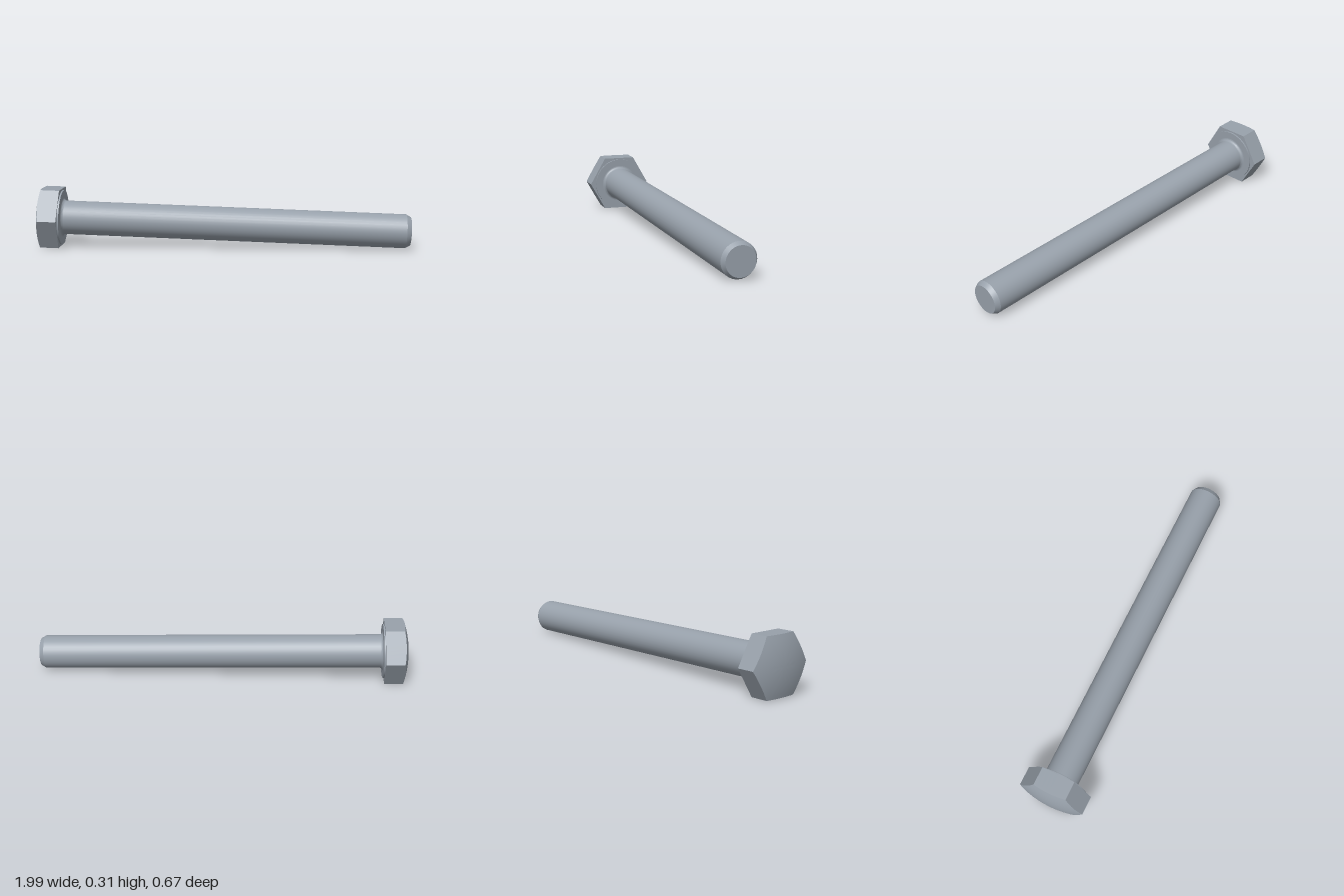
import * as THREE from 'three';
import { toCreasedNormals } from 'three/addons/utils/BufferGeometryUtils.js';

const APOTHEM = 0.1556, CORNER = APOTHEM / Math.cos(Math.PI / 6);
const EDGE = 0.1, DOME = 0.03;   // head height at the corners, extra rise of the dome
const SHAFT = 0.091, LENGTH = 1.879, FILLET = 0.016, WASHER = 0.008;

// Turn a profile of [radius, distance along the bolt] about the x axis
function turned(profile, segments, rule) {
  const geometry = new THREE.LatheGeometry(profile.map(([r, d]) => new THREE.Vector2(r, d)), segments);
  if (rule) rule(geometry.attributes.position);
  geometry.rotateZ(-Math.PI / 2);
  return toCreasedNormals(geometry, 0.42);
}

// Squeeze round rings into hexagons; the back follows a shallow dome
function hexagonal(position) {
  const side = Math.PI / 3;
  for (let i = 0; i < position.count; i++) {
    const x = position.getX(i), z = position.getZ(i);
    const angle = (Math.atan2(x, z) + 2 * Math.PI + 1e-9) % side;
    const k = APOTHEM / Math.cos(angle - side / 2) / CORNER;
    const r = Math.hypot(x, z) * k;
    position.setX(i, x * k);
    position.setZ(i, z * k);
    if (position.getY(i) < 0) position.setY(i, -EDGE - DOME * (1 - (r / CORNER) ** 2));
  }
}

export function createModel() {
  const steel = new THREE.MeshStandardMaterial({ color: 0x98a1ab });
  steel.name = 'steel grey';
  const model = new THREE.Group();
  model.name = 'hexBolt';
  const add = (name, geometry) => {
    const mesh = new THREE.Mesh(geometry, steel);
    mesh.name = name;
    model.add(mesh);
  };

  // Hexagonal head: domed back, straight walls, flat bearing side
  const head = [];
  for (let i = 0; i <= 8; i++) head.push([CORNER * i / 8, -1]);
  head.push([CORNER, 0], [0, 0]);
  add('head', turned(head, 48, hexagonal));

  // Thin raised washer face under the head
  add('washerFace', turned([[0.147, 0], [0.147, WASHER], [0, WASHER]], 48));

  // Shaft with a fillet at the head and a chamfered tip
  const shaft = [];
  for (let i = 0; i <= 6; i++) {
    const a = i / 6 * Math.PI / 2;
    shaft.push([SHAFT + FILLET * (1 - Math.sin(a)), WASHER + FILLET * (1 - Math.cos(a))]);
  }
  shaft.push([SHAFT, LENGTH - 0.025], [0.077, LENGTH], [0, LENGTH]);
  add('shaft', turned(shaft, 36));

  // Lying on the ground, resting on the head and the tip
  model.rotation.set(0, -0.2097, -0.0333, 'YZX');
  model.position.set(-0.857, 0.1555, -0.141);
  const root = new THREE.Group();
  root.name = 'bolt';
  root.add(model);
  return root;
}
